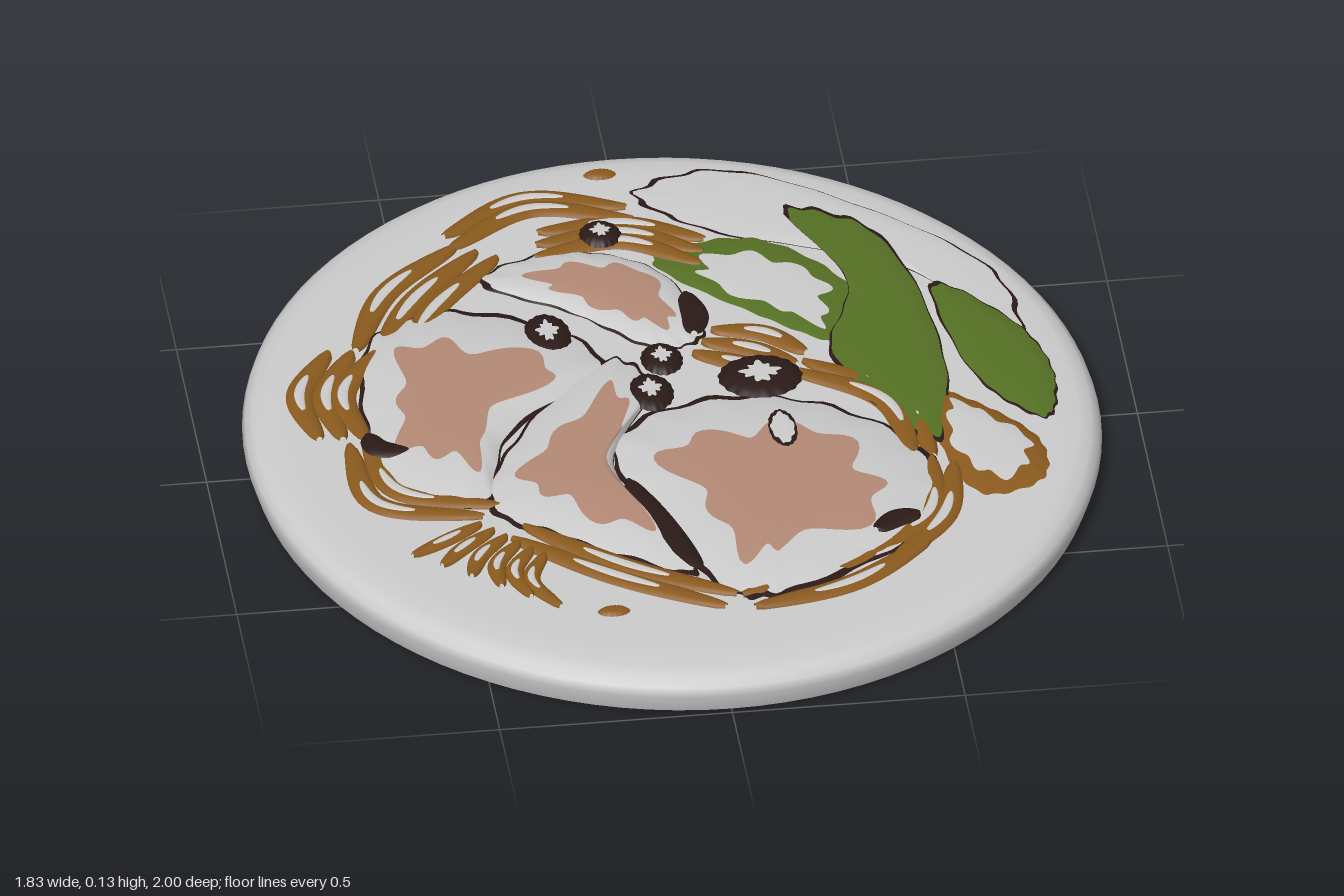
import * as THREE from 'three';

const GREY = 0xcccccc, DARK = 0x2a1a17, MEAT = 0xb48a76, GREEN = 0x557024, NOODLE = 0x8a5a1e;

function mesh(name, geometry, color) {
  const m = new THREE.Mesh(geometry, new THREE.MeshStandardMaterial({ color, side: THREE.DoubleSide }));
  m.name = name;
  return m;
}

// grid surface from a point rule: point(u, v) -> [x, y, z]
function grid(nu, nv, point) {
  const pos = [], index = [];
  for (let i = 0; i <= nu; i++) for (let j = 0; j <= nv; j++) pos.push(...point(i / nu, j / nv));
  for (let i = 0; i < nu; i++) for (let j = 0; j < nv; j++) {
    const a = i * (nv + 1) + j, b = a + nv + 1;
    index.push(a, a + 1, b, b, a + 1, b + 1);
  }
  const g = new THREE.BufferGeometry();
  g.setAttribute('position', new THREE.Float32BufferAttribute(pos, 3));
  g.setIndex(index);
  g.computeVertexNormals();
  return g;
}

const toPoints = pairs => pairs.map(([x, z]) => new THREE.Vector3(x, 0, z));

// low domed sheet with a smooth outline, split into coloured bands from its middle to its rim
function domed(name, outline, base, height, bands, center) {
  const group = new THREE.Group();
  group.name = name;
  const curve = new THREE.CatmullRomCurve3(toPoints(outline), true);
  const n = outline.length;
  const [cx, cz] = center || [0, 1].map(k => outline.reduce((s, p) => s + p[k], 0) / n);
  const edge = (limit, u) => {
    const a = u * Math.PI * 2;
    return limit * (1 + 0.3 * (1 - limit) * (Math.sin(4 * a + n) + Math.sin(9 * a + 2 * n)));
  };
  let from = 0;
  for (const [limit, color] of bands) {
    const start = from;
    group.add(mesh(`${name}Band`, grid(96, 6, (u, v) => {
      const p = curve.getPoint(u % 1);
      const t = THREE.MathUtils.lerp(edge(start, u), edge(limit, u), v);
      const r = t * (1 + 0.02 * t * t * Math.sin(u * Math.PI * 34 + n));
      return [cx + (p.x - cx) * r, base + height * (1 - t ** 4), cz + (p.z - cz) * r];
    }), color));
    from = limit;
  }
  return group;
}

// half-round tapering strip over part of a path
function strip(name, path, width, height, color, base, from = 0, to = 1) {
  const curve = new THREE.CatmullRomCurve3(toPoints(path));
  return mesh(name, grid(24, 6, (u, v) => {
    const s = from + (to - from) * u;
    const p = curve.getPoint(s), d = curve.getTangent(s);
    const w = width * (0.25 + 0.75 * Math.sqrt(Math.abs(Math.sin(Math.PI * u))));
    const side = Math.cos(Math.PI * v) * w;
    return [p.x - d.z * side, base + height * Math.sin(Math.PI * v), p.z + d.x * side];
  }), color);
}

// noodle with a pale glossy ridge
function noodle(path, width, base) {
  const group = new THREE.Group();
  group.name = 'noodle';
  group.add(strip('noodleBody', path, width, 0.01, NOODLE, base),
    strip('noodleHighlight', path, width * 0.4, 0.003, GREY, base + 0.0085, 0.3, 0.7));
  return group;
}

// parallel noodles that bow away from the plate's middle
function noodleBundle(x0, z0, x1, z1, bow, count) {
  const group = new THREE.Group();
  group.name = 'noodleBundle';
  const mx = (x0 + x1) / 2, mz = (z0 + z1) / 2, length = Math.hypot(x1 - x0, z1 - z0);
  let nx = (z1 - z0) / length, nz = (x0 - x1) / length;
  if (nx * mx + nz * mz < 0) { nx = -nx; nz = -nz; }
  for (let i = 0; i < count; i++) {
    const at = (x, z, d) => [x + nx * d, z + nz * d];
    const inset = -0.05 * i, sway = 0.015 * Math.sin(5 * i + 9 * x0);
    group.add(noodle([at(x0, z0, inset), at(mx, mz, inset + bow + sway), at(x1, z1, inset)],
      0.029, 0.1 + 0.002 * i));
  }
  return group;
}

const oval = (x, z, rx, rz) => Array.from({ length: 8 }, (_, i) =>
  [x + rx * Math.cos(i * Math.PI / 4), z + rz * Math.sin(i * Math.PI / 4)]);

export function createModel() {
  const model = new THREE.Group();
  model.name = 'plateOfFood';

  // oval plate, a shell open underneath
  const profile = [[0.985, 0], [1, 0.042], [0.993, 0.062], [0.975, 0.078], [0.945, 0.086], [0.88, 0.09], [0, 0.09]];
  const plate = mesh('plate', new THREE.LatheGeometry(profile.map(p => new THREE.Vector2(...p)), 96), GREY);
  plate.scale.x = 0.915;
  model.add(plate);

  // meat slices: pink middle, pale fat, dark crust
  const meat = [[0.62, MEAT], [0.96, GREY], [1, DARK]];
  model.add(
    domed('frontSlice', [[-.14, .1], [.1, -.03], [.36, .05], [.54, .3], [.46, .53], [.15, .73], [.04, .71],
      [-.09, .42]], 0.104, 0.025, meat),
    domed('middleSlice', [[-.1, -.2], [-.03, -.1], [-.15, .2], [-.03, .63], [-.26, .48], [-.43, .34],
      [-.35, .08]], 0.104, 0.022, meat),
    domed('sideSlice', [[-.6, -.34], [-.4, -.42], [-.12, -.2], [-.36, .07], [-.45, .31], [-.62, .24],
      [-.66, 0]], 0.104, 0.025, meat),
    domed('backSlice', [[-.35, -.52], [-.17, -.61], [.03, -.52], [.1, -.25], [0, -.22], [-.16, -.37]],
      0.104, 0.018, meat, [-.05, -.43]));

  // leaves and a mushroom piece on the model's left
  const green = [[0.96, GREEN], [1, DARK]];
  model.add(
    domed('paleLeaf', [[.02, -.81], [.2, -.88], [.5, -.7], [.75, -.42], [.77, -.18], [.55, -.47], [.15, -.66]],
      0.1, 0.005, [[0.97, GREY], [1, DARK]], [.46, -.64]),
    domed('mottledLeaf', [[.03, -.56], [.25, -.61], [.44, -.39], [.4, -.2], [.22, -.33]],
      0.102, 0.008, [[0.65, GREY], [1, GREEN]]),
    domed('longLeaf', [[.33, -.71], [.5, -.62], [.6, -.13], [.545, .2], [.36, -.15], [.43, -.42]],
      0.106, 0.009, green, [.5, -.27]),
    domed('outerLeaf', [[.61, -.4], [.78, -.2], [.825, 0], [.79, .14], [.67, 0]], 0.104, 0.009, green),
    domed('mushroomPiece', [[.56, 0], [.67, .08], [.765, .22], [.75, .36], [.62, .4], [.55, .2]],
      0.1, 0.014, [[0.7, GREY], [1, NOODLE]]));

  // noodles around the slices: start, end, bow, count
  const bundles = [
    [-.4, -.7, 0, -.76, .08, 2], [-.2, -.69, .15, -.62, .06, 3], [-.64, -.3, -.38, -.66, .04, 3],
    [-.76, .02, -.7, -.3, .06, 3], [-.7, .05, -.45, .35, .12, 2], [-.4, .44, .02, .75, .01, 2],
    [.08, .76, .48, .56, .03, 2], [.4, .62, .57, .28, .05, 2], [.3, -.14, .53, .25, .08, 2],
    [.12, -.28, .31, -.17, .02, 3],
  ];
  for (const bundle of bundles) model.add(noodleBundle(...bundle));

  // fan of short noodle ends
  for (let i = 0; i < 6; i++) {
    const k = i / 5;
    model.add(noodle([[-.46 + .12 * k, .38 + .13 * k], [-.54 + .16 * k, .43 + .17 * k],
      [-.62 + .29 * k, .48 + .23 * k]], 0.02, 0.102));
  }

  // stray crumbs on the plate
  for (const [x, z] of [[-.04, -.89], [-.22, .735]])
    model.add(domed('crumb', oval(x, z, .035, .02), 0.1, 0.008, [[1, NOODLE]]));

  // dark glazed bits with pale tops
  const bits = [[-.23, -.29, .05, .08], [-.07, -.65, .045, .05], [.2, -.08, .09, .08], [-.04, -.05, .05, .07],
    [0, -.17, .045, .06]];
  for (const bit of bits) model.add(domed('glazedBit', oval(...bit), 0.112, 0.015, [[0.4, GREY], [1, DARK]]));
  model.add(domed('fatFleck', oval(.22, .14, .03, .07), 0.128, 0.003, [[0.8, GREY], [1, DARK]]));

  // charred streaks along the slice edges
  const chars = [[[-.13, .28], [-.08, .44], [-.02, .62]], [[-.66, .04], [-.64, .09], [-.58, .11]],
    [[.08, -.4], [.09, -.32], [.08, -.25]], [[.37, .53], [.42, .49], [.47, .48]]];
  for (const path of chars) model.add(strip('charredStreak', path, 0.03, 0.009, DARK, 0.116));
  return model;
}
